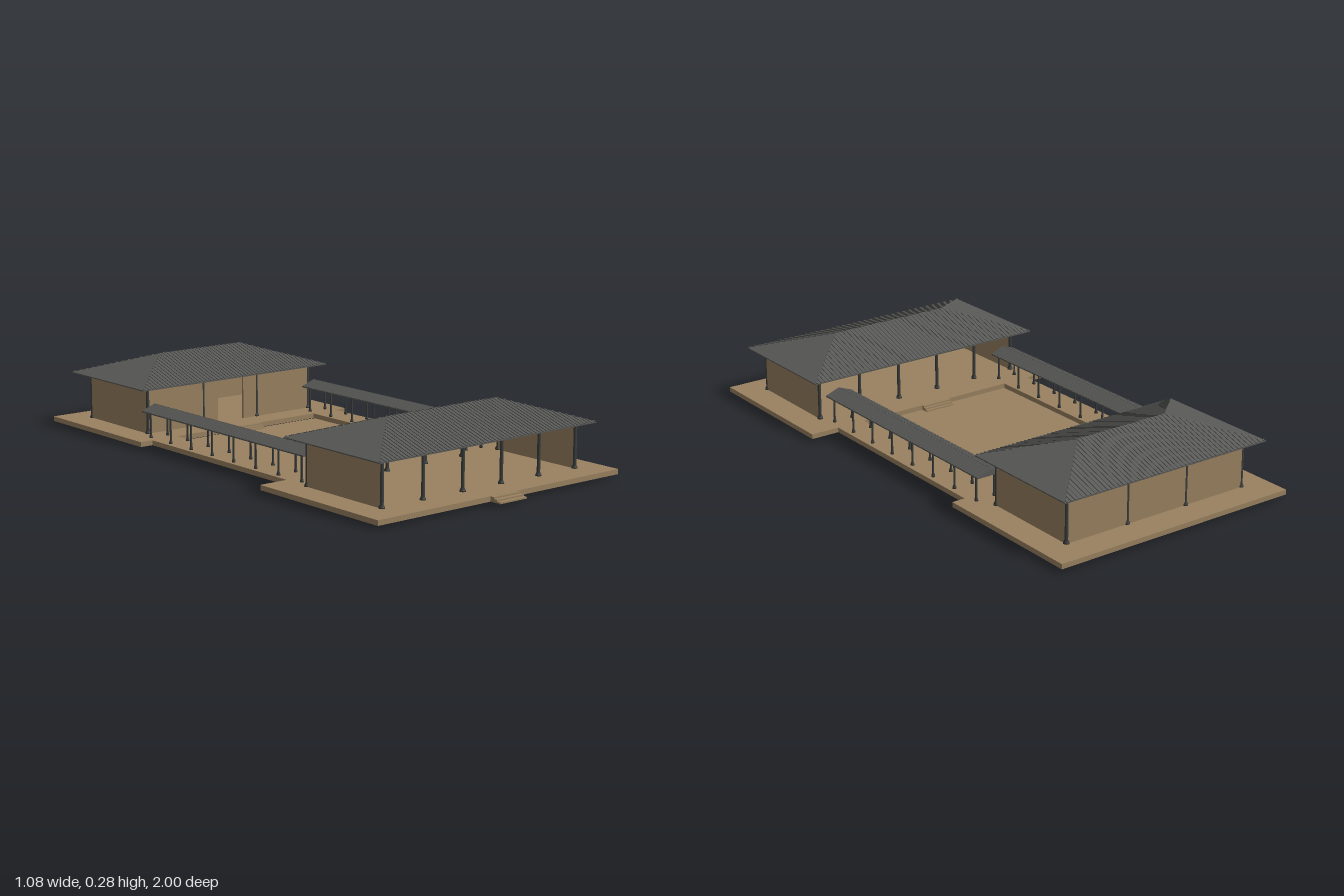
import * as THREE from 'three';
import { mergeGeometries } from 'three/addons/utils/BufferGeometryUtils.js';

export function createModel() {
  const model = new THREE.Group();
  const earth = new THREE.MeshStandardMaterial({ color: 0x9a8260 });
  earth.name = 'earth brown';
  const tile = new THREE.MeshStandardMaterial({ color: 0x585956 });
  tile.name = 'tile grey';
  const timber = new THREE.MeshStandardMaterial({ color: 0x3c3f3e });
  timber.name = 'dark timber';

  function add(parent, name, geometry, material) {
    const mesh = new THREE.Mesh(geometry, material);
    mesh.name = name;
    parent.add(mesh);
    return mesh;
  }
  // Box given by its extents along each axis
  function block(parent, name, x0, x1, y0, y1, z0, z1, material = earth) {
    const g = new THREE.BoxGeometry(x1 - x0, y1 - y0, z1 - z0);
    g.translate((x0 + x1) / 2, (y0 + y1) / 2, (z0 + z1) / 2);
    return add(parent, name, g, material);
  }
  function group(name) {
    const g = new THREE.Group();
    g.name = name;
    model.add(g);
    return g;
  }

  // Round post with a flared foot
  function post(parent, name, x, z, top, r) {
    const profile = [[0, 0], [r * 1.8, 0], [r * 1.7, 0.005], [r, 0.013], [r, top - FLOOR], [0, top - FLOOR]];
    const g = new THREE.LatheGeometry(profile.map(p => new THREE.Vector2(...p)), 10);
    add(parent, name, g, timber).position.set(x, FLOOR, z);
  }

  // Hipped roof (or a gable when ridge = halfX) with tile ribs down the long slopes
  function roof(parent, name, halfX, halfZ, ridge, eave, top) {
    const lip = eave + 0.004;
    const ring = y => [[-halfX, y, halfZ], [halfX, y, halfZ], [halfX, y, -halfZ], [-halfX, y, -halfZ]];
    const a = ring(eave), b = ring(lip), L = [-ridge, top, 0], R = [ridge, top, 0];
    const pos = [];
    const tri = (...p) => p.forEach(v => pos.push(...v));
    const quad = (p, q, r, s) => { tri(p, q, r); tri(p, r, s); };
    for (let i = 0; i < 4; i++) quad(a[i], a[(i + 1) % 4], b[(i + 1) % 4], b[i]);
    quad(b[0], b[1], R, L);
    quad(b[2], b[3], L, R);
    tri(b[1], b[2], R);
    tri(b[3], b[0], L);
    quad(a[3], a[2], a[1], a[0]);
    const shell = new THREE.BufferGeometry();
    shell.setAttribute('position', new THREE.Float32BufferAttribute(pos, 3));
    shell.computeVertexNormals();

    const holder = new THREE.Group();
    holder.name = name;
    parent.add(holder);
    add(holder, 'roofSlopes', shell, tile);

    const ribs = [], count = Math.round(2 * halfX / 0.0165), drop = top - lip;
    const angle = Math.atan2(drop, halfZ);
    for (let i = 0; i < count; i++) {
      const x = -halfX + (i + 0.5) * 2 * halfX / count;
      const t = Math.max(0, (Math.abs(x) - ridge) / Math.max(halfX - ridge, 1e-6));
      const length = Math.hypot(drop, halfZ) * (1 - t), mid = (1 + t) / 2;
      for (const s of [1, -1]) {
        const g = new THREE.BoxGeometry(0.006, 0.005, length);
        g.rotateX(s * angle);
        g.translate(x, top - mid * drop, s * mid * halfZ);
        ribs.push(g);
      }
    }
    add(holder, 'tileRibs', mergeGeometries(ribs), tile);
    return holder;
  }

  // Three low steps running out from a platform edge
  function stairs(name, edge, dir, run) {
    const g = group(name);
    for (let i = 0; i < 3; i++) {
      const z = edge + dir * run * (i + 1) / 3;
      block(g, 'step', -0.06, 0.06, 0.01, FLOOR - 0.0005 - i * 0.006, Math.min(edge, z), Math.max(edge, z));
    }
  }

  const FLOOR = 0.028;

  // Ground: courtyard, platforms and walkways
  const base = group('base');
  block(base, 'courtyard', -0.325, 0.325, 0, 0.0102, -0.41, 0.366);
  block(base, 'frontPlatform', -0.54, 0.54, 0.01, FLOOR, 0.365, 0.955);
  block(base, 'rearPlatform', -0.48, 0.48, 0.01, FLOOR, -1, -0.415);
  for (const s of [-1, 1]) {
    block(base, 'walkway', s * 0.375 - 0.055, s * 0.375 + 0.055, 0.01, FLOOR, -0.415, 0.365);
  }
  stairs('frontSteps', 0.955, 1, 0.045);
  stairs('courtFrontSteps', 0.365, -1, 0.03);
  stairs('courtRearSteps', -0.415, 1, 0.03);

  // Front hall: open front and back, with walls at the sides
  const front = group('frontHall');
  for (const s of [-1, 1]) {
    block(front, 'sideWall', s * 0.434 - 0.004, s * 0.434 + 0.004, FLOOR, 0.188, 0.48, 0.852);
  }
  for (const z of [0.852, 0.48]) {
    for (let i = 0; i < 6; i++) post(front, 'column', -0.434 + i * 0.1736, z, 0.19, 0.006);
  }
  roof(front, 'frontRoof', 0.485, 0.24, 0.245, 0.187, 0.267).position.z = 0.66;

  // Rear hall: walled, with a tall central doorway
  const rear = group('rearHall');
  block(rear, 'backWall', -0.375, 0.375, FLOOR, 0.2, -0.894, -0.886);
  for (const s of [-1, 1]) {
    block(rear, 'sideWall', s * 0.375 - 0.004, s * 0.375 + 0.004, FLOOR, 0.2, -0.89, -0.52);
    block(rear, 'frontWall', Math.min(s * 0.06, s * 0.375), Math.max(s * 0.06, s * 0.375), FLOOR, 0.2, -0.524, -0.516);
  }
  for (const z of [-0.52, -0.89]) {
    for (let i = 0; i < 4; i++) post(rear, 'column', -0.375 + i * 0.25, z, 0.2, 0.006);
  }
  roof(rear, 'rearRoof', 0.427, 0.238, 0.187, 0.198, 0.279).position.z = -0.708;

  // Covered galleries joining the halls
  for (const s of [-1, 1]) {
    const gallery = group(s > 0 ? 'leftGallery' : 'rightGallery');
    for (const x of [0.335, 0.409]) {
      for (let i = 0; i < 8; i++) post(gallery, 'galleryPost', s * x, 0.42 - i * 0.1247, 0.124, 0.0038);
    }
    const cover = roof(gallery, 'galleryRoof', 0.466, 0.053, 0.466, 0.12, 0.144);
    cover.rotation.y = Math.PI / 2;
    cover.position.set(s * 0.373, 0, -0.018);
  }
  return model;
}
